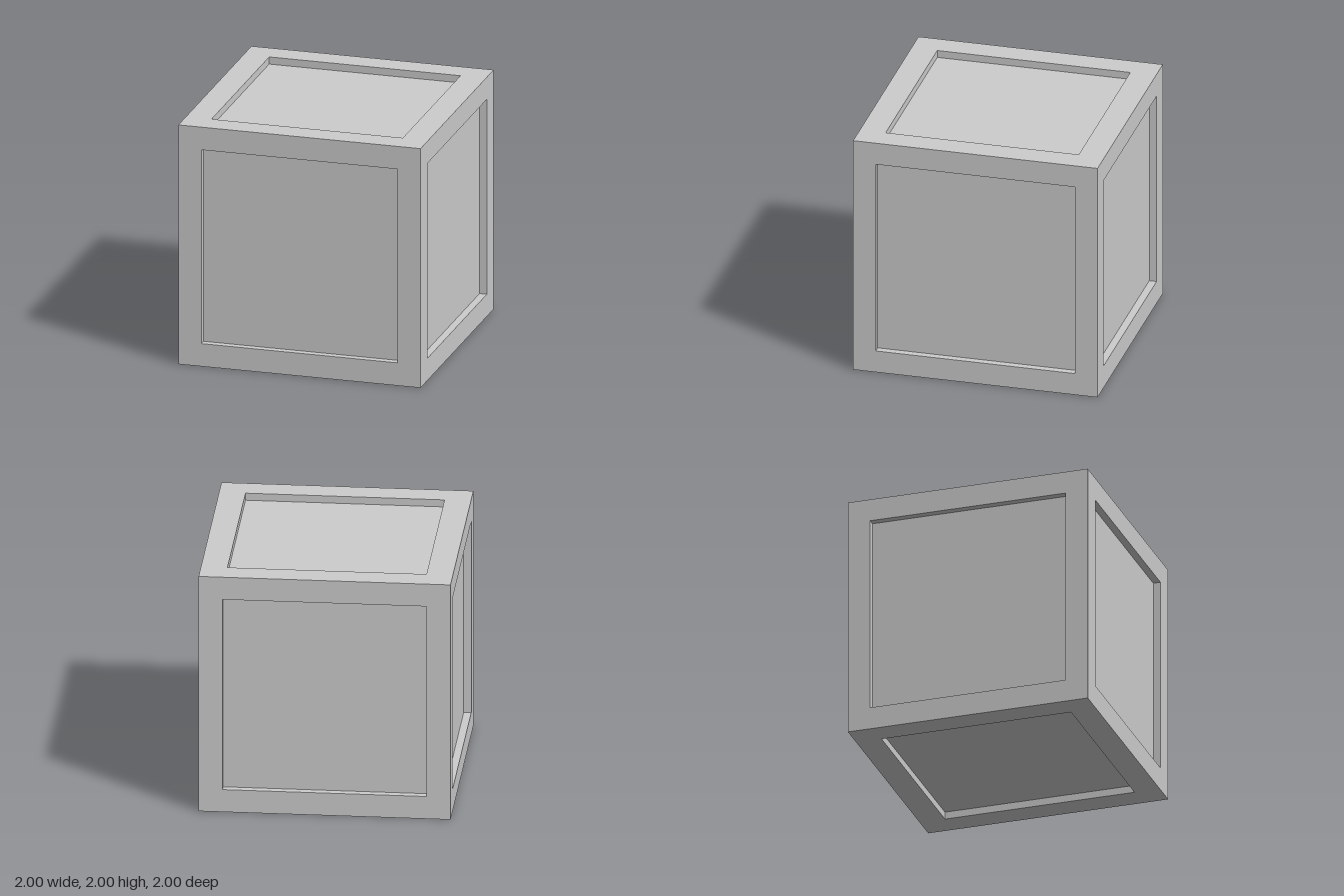
import * as THREE from 'three';

const DEPTH = 0.06;

// Square loop of four corners, counter-clockwise seen from +z
const square = (h, z) => [[-h, -h, z], [h, -h, z], [h, h, z], [-h, h, z]];

// Flat-sided geometry from a list of four-cornered faces
function quads(list) {
  const points = list.flatMap(([a, b, c, d]) => [a, b, c, a, c, d]).flat();
  const geometry = new THREE.BufferGeometry();
  geometry.setAttribute('position', new THREE.Float32BufferAttribute(points, 3));
  geometry.computeVertexNormals();
  return geometry;
}

// Band of four faces joining two square loops
function band(outer, inner) {
  return outer.map((p, i) => {
    const j = (i + 1) % 4;
    return [p, outer[j], inner[j], inner[i]];
  });
}

// One side of the crate: flat border, recess walls and sunken panel
function makeSide(name, half, material) {
  const side = new THREE.Group();
  side.name = name;
  const edge = square(1, 1);
  const rim = square(half, 1);
  const floor = square(half, 1 - DEPTH);
  const parts = {
    Border: band(edge, rim),
    RecessWalls: band(rim, floor),
    Panel: [floor],
  };
  for (const [part, faces] of Object.entries(parts)) {
    const mesh = new THREE.Mesh(quads(faces), material);
    mesh.name = name + part;
    side.add(mesh);
  }
  return side;
}

export function createModel() {
  const grey = new THREE.MeshStandardMaterial({ color: 0xcccccc });
  grey.name = 'light grey';

  const crate = new THREE.Group();
  crate.name = 'crate';

  // name, half width of the recess, rotation about x and y
  const sides = [
    ['front', 0.81, 0, 0],
    ['back', 0.81, 0, Math.PI],
    ['left', 0.815, 0, Math.PI / 2],
    ['right', 0.815, 0, -Math.PI / 2],
    ['top', 0.79, -Math.PI / 2, 0],
    ['bottom', 0.79, Math.PI / 2, 0],
  ];
  for (const [name, half, rx, ry] of sides) {
    const side = makeSide(name, half, grey);
    side.rotation.set(rx, ry, 0);
    side.position.y = 1;
    crate.add(side);
  }
  return crate;
}
